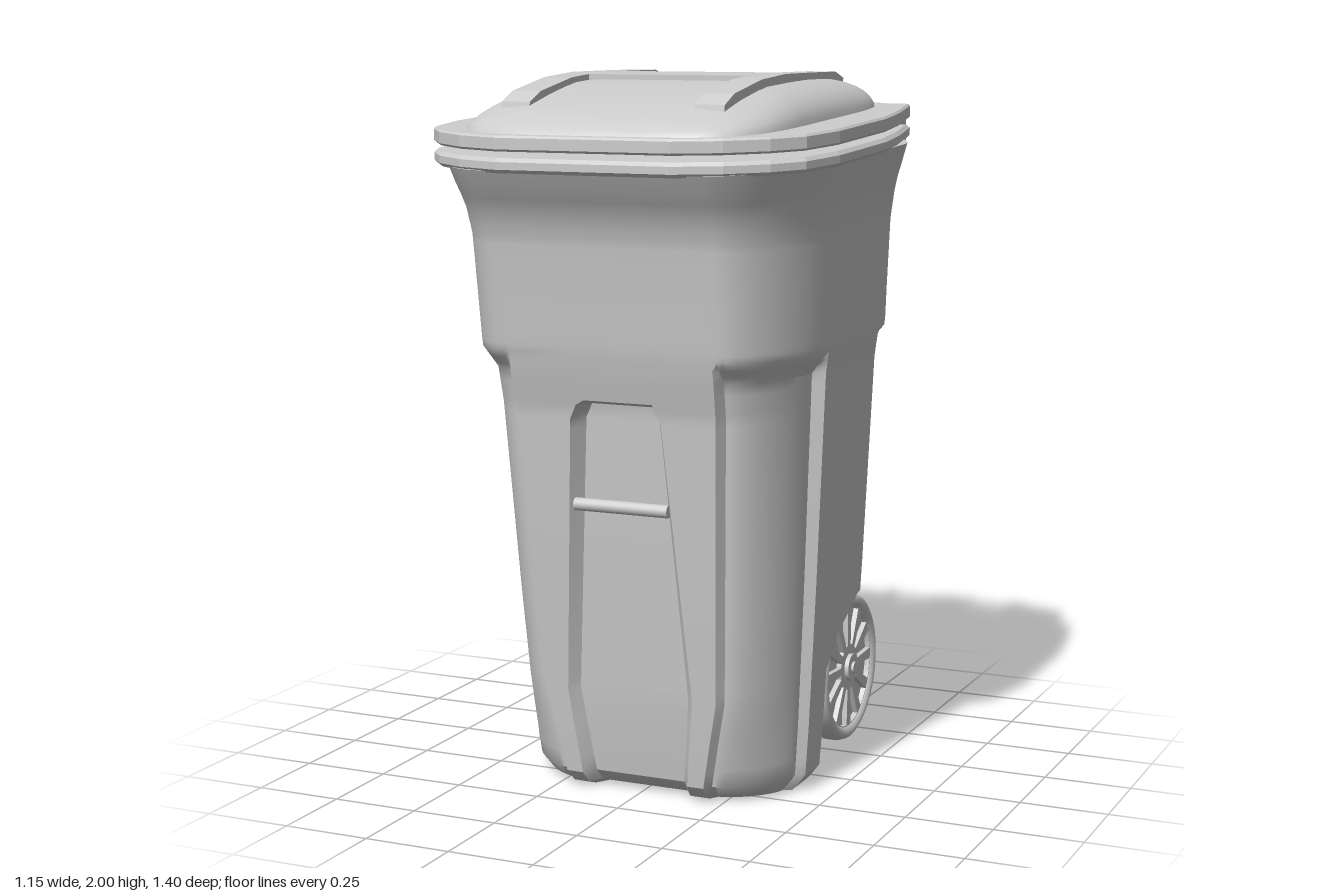
import * as THREE from 'three';
import { toCreasedNormals } from 'three/addons/utils/BufferGeometryUtils.js';

const mat = new THREE.MeshStandardMaterial({ color: 0xcccccc });
const TILT = 0.05; // rim and lid rise towards the back

function add(parent, name, geo, x = 0, y = 0, z = 0) {
  const m = new THREE.Mesh(geo, mat);
  m.name = name;
  m.position.set(x, y, z);
  parent.add(m);
  return m;
}

// piecewise linear curve through [t, value] pairs
const curve = (...p) => (t) => {
  if (t <= p[0][0]) return p[0][1];
  for (let i = 1; i < p.length; i++) {
    if (t <= p[i][0]) return THREE.MathUtils.mapLinear(t, p[i - 1][0], p[i][0], p[i - 1][1], p[i][1]);
  }
  return p[p.length - 1][1];
};

// skin over closed rings of [x, y, z], capped at both ends
function loft(rings, crease) {
  const n = rings[0].length, pos = [], idx = [];
  rings.forEach((r) => r.forEach((p) => pos.push(...p)));
  for (let j = 0; j < rings.length - 1; j++) {
    for (let i = 0; i < n; i++) {
      const k = (i + 1) % n, a = j * n + i, b = j * n + k;
      idx.push(a, b, b + n, a, b + n, a + n);
    }
  }
  for (const end of [0, rings.length - 1]) {
    const c = pos.length / 3;
    pos.push(...[0, 1, 2].map((d) => rings[end].reduce((s, p) => s + p[d] / n, 0)));
    for (let i = 0; i < n; i++) {
      const a = end * n + i, b = end * n + (i + 1) % n;
      idx.push(...(end ? [a, b, c] : [b, a, c]));
    }
  }
  const g = new THREE.BufferGeometry();
  g.setAttribute('position', new THREE.Float32BufferAttribute(pos, 3));
  g.setIndex(idx);
  return toCreasedNormals(g, crease);
}

// side profile of [z, y] points extruded from x0 to x1
function sideExtrude(pts, x0, x1) {
  const s = new THREE.Shape(pts.map((p) => new THREE.Vector2(...p)));
  return new THREE.ExtrudeGeometry(s, { depth: x1 - x0, bevelEnabled: false })
    .rotateY(-Math.PI / 2).translate(x1, 0, 0);
}

// plan outline of [x, z] points extruded upwards, then heights set by a rule
function planExtrude(pts, options, heightRule) {
  const s = new THREE.Shape(pts.map(([x, z]) => new THREE.Vector2(x, -z)));
  const g = new THREE.ExtrudeGeometry(s, options).rotateX(-Math.PI / 2);
  const p = g.attributes.position;
  for (let i = 0; i < p.count; i++) p.setY(i, heightRule(p.getY(i), p.getZ(i)));
  g.computeVertexNormals();
  return g;
}

// tilted slab from half a plan outline
function slab(half, y0, h, bevel) {
  const full = [...half, ...half.slice().reverse().map(([x, z]) => [-x, z])];
  return planExtrude(full, {
    depth: h - 2 * bevel, bevelSize: bevel, bevelThickness: bevel, bevelOffset: -bevel, bevelSegments: 1,
  }, (y, z) => y + y0 + bevel - TILT * z);
}

// tapered bin with sunken front, corner and back panels
function binBody() {
  const width = curve([0, .38], [.04, .42], [.2, .432], [.6, .455], [1.2, .485], [1.27, .495], [1.58, .51], [1.68, .525], [1.74, .545], [1.79, .56]);
  const front = curve([0, .32], [.015, .36], [.05, .39], [.2, .41], [1.1, .505], [1.2, .53], [1.27, .545], [1.58, .585], [1.66, .61], [1.73, .65], [1.79, .68]);
  const back = curve([0, 0], [.33, 0], [.42, -.08], [.5, -.22], [.52, -.36], [.56, -.5], [.6, -.51], [1.22, -.49], [1.3, -.51], [1.79, -.51]);
  const panelHalf = curve([0, .13], [.3, .165], [1.08, .11], [1.12, .09]);
  const panelDepth = curve([0, .04], [.3, .03], [1.12, .05], [1.135, 0]);
  const cornerStart = curve([0, .2], [.3, .26], [1.2, .3]);
  const cornerDepth = curve([0, .025], [1.2, .035], [1.26, 0]);
  const cornerRound = curve([0, 1.35], [.5, 1.2], [1.2, 1.1]); // above 1 cuts the corner flatter
  const backDepth = curve([.5, 0], [.53, .03], [1.24, .03], [1.28, 0]);
  const backFlat = curve([1.22, .25], [1.4, .2]);
  const backRound = curve([1.22, 1.2], [1.32, 1.1]);
  const groove = curve([.6, 0], [.63, .05], [1.53, .05], [1.56, 0]);
  const grooveHalf = curve([1.26, .075], [1.3, .06], [1.5, .06], [1.56, .04]);
  const lean = curve([1.5, 0], [1.78, TILT]);
  const ys = [0, .015, .05, .1, .2, .3, .33, .38, .42, .46, .5, .51, .52, .53, .56, .6, .63, .75, .9, 1.05, 1.08, 1.1,
    1.12, 1.135, 1.17, 1.2, 1.22, 1.24, 1.26, 1.28, 1.3, 1.4, 1.5, 1.53, 1.56, 1.58, 1.62, 1.66, 1.7, 1.74, 1.79];
  const rings = ys.map((y) => {
    const w = width(y), zf = front(y), zb = back(y), a = panelHalf(y), fd = panelDepth(y);
    const b = cornerStart(y), cd = cornerDepth(y), bd = backDepth(y), gd = groove(y), gh = grooveHalf(y);
    const zs = .17 + .03 * y, zp = Math.max(-.21, zb + .05), round = cornerRound(y), br = backRound(y);
    const xb = THREE.MathUtils.mapLinear(Math.max(zb, -.49), 0, -.49, w - .07, backFlat(y));
    const h = [[0, zf - fd], [a, zf - fd], [a + .025, zf], [b, zf]];
    // front corner, wholly sunken
    for (let i = 0; i <= 12; i++) {
      const t = i / 12 * Math.PI / 2;
      h.push([b + .015 + (w - cd - b - .015) * Math.sin(t) ** round, zs + (zf - cd - zs) * Math.max(0, Math.cos(t)) ** round]);
    }
    h.push([w, zs - .015], [w, zp + .015]);
    // back corner, sunken only on its side half
    for (let i = 0; i <= 14; i++) {
      const t = i / 14 * Math.PI / 2, d = i < 8 ? bd : 0, sn = Math.sin(t), cs = Math.max(0, Math.cos(t));
      h.push([xb + (w - xb) * cs ** br - d * cs, zp + (zb - zp) * sn ** br + d * sn]);
    }
    h.push([gh + .015, zb], [gh, zb + gd], [0, zb + gd]);
    const other = h.slice(1, -1).reverse().map(([x, z]) => [-x, z]);
    return [...h, ...other].map(([x, z]) => [x, y - lean(y) * z, z]);
  });
  return loft(rings, .55);
}

// domed lid top from shrinking rounded-rectangle rings
function lidDome() {
  const rings = [1, .99, .97, .94, .9, .84, .76, .6, .4, .2, .01].map((s) => {
    const ring = [], f = Math.sqrt(1 - s ** 6);
    for (let i = 0; i < 80; i++) {
      const t = i / 80 * Math.PI * 2, sn = Math.sin(t), cs = Math.cos(t);
      const x = .455 * s * Math.sign(sn) * Math.abs(sn) ** .42;
      const z = .095 + .575 * s * Math.sign(cs) * Math.abs(cs) ** .42;
      const rise = .12 - .13 * Math.max(0, z - .25) - .05 * Math.max(0, -z);
      ring.push([x, 1.87 - TILT * z + f * rise, z]);
    }
    return ring;
  });
  return loft(rings, .6);
}

function wheel(name, x) {
  const g = new THREE.Group();
  g.name = name;
  g.position.set(x, .25, -.285);
  // rounded tyre
  const tyre = [[.18, -.03], [.19, -.038], [.202, -.041], [.213, -.034], [.22, -.015], [.22, .015], [.213, .034], [.202, .041], [.19, .038], [.18, .03], [.18, -.03]];
  add(g, 'tyre', toCreasedNormals(new THREE.LatheGeometry(tyre.map((p) => new THREE.Vector2(...p)), 48), .9)
    .rotateZ(Math.PI / 2));
  // disc with twelve wedge openings
  const disc = new THREE.Shape().absarc(0, 0, .185, 0, Math.PI * 2);
  for (let i = 0; i < 12; i++) {
    const c = (i + .5) / 12 * Math.PI * 2, hole = new THREE.Path();
    hole.absarc(0, 0, .177, c - .17, c + .17, false);
    hole.absarc(0, 0, .068, c + .1, c - .1, true);
    hole.closePath();
    disc.holes.push(hole);
  }
  add(g, 'spokes', new THREE.ExtrudeGeometry(disc, { depth: .06, bevelEnabled: false, curveSegments: 24 })
    .translate(0, 0, -.03).rotateY(Math.PI / 2));
  add(g, 'wheelWeb', new THREE.CylinderGeometry(.182, .182, .03, 40).rotateZ(Math.PI / 2));
  add(g, 'hub', new THREE.CylinderGeometry(.04, .04, .085, 24).rotateZ(Math.PI / 2));
  add(g, 'axleCap', new THREE.CylinderGeometry(.017, .017, .1, 16).rotateZ(Math.PI / 2));
  return g;
}

export function createModel() {
  const model = new THREE.Group();
  model.name = 'wheeledBin';
  add(model, 'binBody', binBody());

  // rim and lid flange share a plan outline
  const outline = [[0, .7], [.25, .7], [.38, .655], [.48, .585], [.545, .5], [.575, .34], [.575, -.02], [.55, -.2],
    [.5, -.43], [.44, -.43], [.37, -.47], [.27, -.52], [.15, -.54], [0, -.54]];
  add(model, 'binRim', slab(outline, 1.785, .04, .01));
  add(model, 'lidFlange', slab(outline, 1.842, .042, .006));
  add(model, 'lidDome', lidDome());

  // raised pads on the lid
  const rib = [[.53, 1.86], [.517, 1.93], [.455, 1.957], [.27, 1.989], [.1, 2], [-.1, 2], [-.28, 1.999], [-.345, 1.98], [-.345, 1.9]];
  add(model, 'lidRibLeft', sideExtrude(rib, .24, .325));
  add(model, 'lidRibRight', sideExtrude(rib, -.325, -.24));
  add(model, 'lidBridge', sideExtrude([[.165, 1.93], [.165, 1.996], [.1, 2], [-.055, 2], [-.055, 1.93]], -.24, .24));

  // hinge: ears on the bin, rod, and lid tabs gripping the rod
  const ear = [[.27, -.4], [.46, -.4], [.445, -.54], [.43, -.6], [.395, -.64], [.3, -.67], [.285, -.6], [.275, -.52]];
  const earUnderside = curve([-.67, 1.805], [-.6, 1.79], [-.52, 1.755], [-.4, 1.7]);
  const earTop = curve([-.67, 1.845], [-.6, 1.865], [-.4, 1.86]);
  const tab = [[-.5, 1.87], [-.6, 1.84], [-.64, 1.8], [-.68, 1.795], [-.7, 1.82], [-.695, 1.855], [-.66, 1.87], [-.56, 1.89], [-.5, 1.905]];
  for (const [s, side] of [[1, 'Left'], [-1, 'Right']]) {
    add(model, 'hingeEar' + side, planExtrude(ear.map(([x, z]) => [s * x, z]), { depth: 1, bevelEnabled: false },
      (y, z) => (y > .5 ? earTop(z) : earUnderside(z))));
    add(model, 'hingeClip' + side, sideExtrude(tab, s * .243 - .033, s * .243 + .033));
  }
  add(model, 'hingeTab', sideExtrude(tab, -.075, .075));
  add(model, 'hingeRod', new THREE.CylinderGeometry(.022, .022, .62, 16).rotateZ(Math.PI / 2), 0, 1.832, -.655);

  // lift bar across the front recess
  add(model, 'liftBar', new THREE.CylinderGeometry(.018, .018, .28, 16).rotateZ(Math.PI / 2), 0, .838, .462);

  // axle brackets, axle and wheels
  const bracket = [[.02, .17], [-.34, .17], [-.36, .19], [-.36, .54], [-.2, .52], [.02, .4]];
  add(model, 'axleBracketLeft', sideExtrude(bracket, .21, .305));
  add(model, 'axleBracketRight', sideExtrude(bracket, -.305, -.21));
  add(model, 'axle', new THREE.CylinderGeometry(.016, .016, .72, 16).rotateZ(Math.PI / 2), 0, .25, -.285);
  model.add(wheel('wheelLeft', .355), wheel('wheelRight', -.355));
  return model;
}
